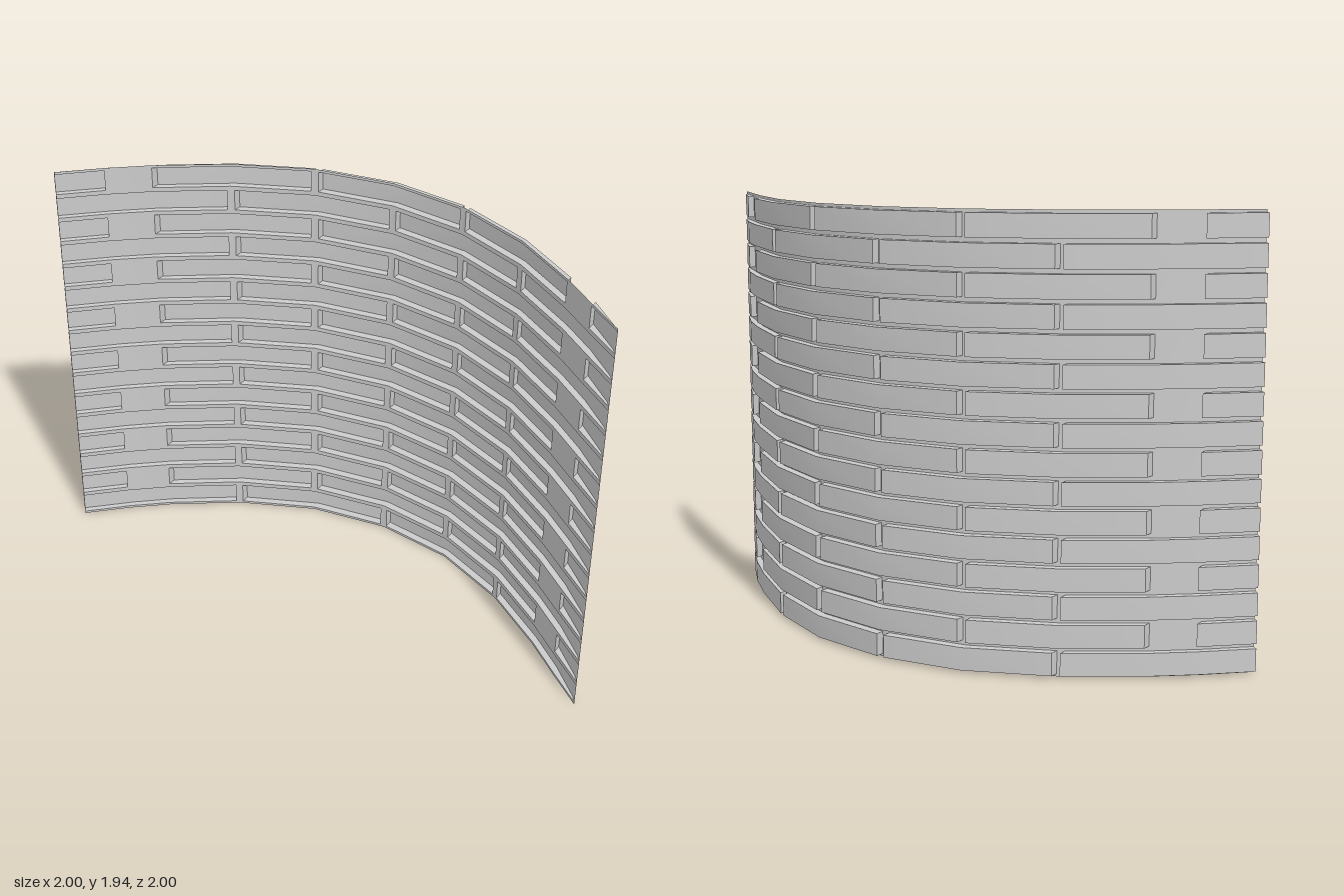
import * as THREE from 'three';
import { toCreasedNormals } from 'three/addons/utils/BufferGeometryUtils.js';

// Plan of the wall as [x, z] corners, and how far bricks push out at each corner
const PLAN = [[-1, -0.966], [-0.77, -0.963], [-0.55, -0.945], [-0.19, -0.88], [0.185, -0.735],
  [0.5, -0.5], [0.735, -0.185], [0.88, 0.19], [0.945, 0.56], [0.966, 0.78], [0.99, 1]];
const LAST = PLAN.length - 1;
const PUSH = PLAN.map((p, i) => i === 0 ? [0, -0.031] : i === LAST ? [0.007, -0.04] : [0.029, -0.029]);
const TOP = 1.94, COURSES = 16, PITCH = 0.121, BRICK_H = 0.1, BASE = 0.012, GAP = 0.045;

// Spans of bricks along the plan, measured in corner numbers
const EVEN = [[0, 3 - GAP], [3 + GAP, 5 - GAP], [5 + GAP, 7 - GAP], [7 + GAP, LAST]];
const ODD = [[0, 1], [2, 4 - GAP], [4 + GAP, 6 - GAP], [6 + GAP, 8], [9, LAST]];

function sample(list, u) {
  const i = Math.min(Math.floor(u), LAST - 1), t = u - i;
  return [0, 1].map(k => list[i][k] * (1 - t) + list[i + 1][k] * t);
}

// Point on the sheet (out = 0) or on the brick face (out = 1)
function point(u, y, out) {
  const p = sample(PLAN, u), d = sample(PUSH, u);
  return [p[0] + d[0] * out, y, p[1] + d[1] * out];
}

// Cut a span at every corner of the plan
function pieces(a, b) {
  const cuts = [a];
  for (let i = Math.floor(a) + 1; i < b; i++) cuts.push(i);
  cuts.push(b);
  return cuts.slice(1).map((c, i) => [cuts[i], c]);
}

const quad = (pos, a, b, c, d) => pos.push(...a, ...b, ...c, ...a, ...c, ...d);

// Vertical band facing outwards
function band(pos, a, b, y0, y1, out) {
  for (const [u, v] of pieces(a, b))
    quad(pos, point(u, y0, out), point(u, y1, out), point(v, y1, out), point(v, y0, out));
}

// Hollow brick pressed outwards from the sheet, open on the inside
function brick(pos, a, b, y0, y1) {
  band(pos, a, b, y0, y1, 1);
  for (const [u, v] of pieces(a, b)) {
    quad(pos, point(u, y1, 0), point(v, y1, 0), point(v, y1, 1), point(u, y1, 1));
    quad(pos, point(u, y0, 1), point(v, y0, 1), point(v, y0, 0), point(u, y0, 0));
  }
  quad(pos, point(a, y0, 0), point(a, y1, 0), point(a, y1, 1), point(a, y0, 1));
  quad(pos, point(b, y0, 1), point(b, y1, 1), point(b, y1, 0), point(b, y0, 0));
}

export function createModel() {
  const group = new THREE.Group();
  group.name = 'curvedBrickWall';
  const material = new THREE.MeshStandardMaterial({ color: 0xcccccc, side: THREE.DoubleSide });
  const add = (name, pos) => {
    const geometry = new THREE.BufferGeometry();
    geometry.setAttribute('position', new THREE.Float32BufferAttribute(pos, 3));
    const mesh = new THREE.Mesh(toCreasedNormals(geometry, Math.PI / 6), material);
    mesh.name = name;
    group.add(mesh);
  };

  const mortar = [];
  let bedBottom = 0;
  for (let r = 0; r < COURSES; r++) {
    const y0 = BASE + r * PITCH, y1 = y0 + BRICK_H;
    const spans = r % 2 ? ODD : EVEN;
    const bricks = [];
    band(mortar, 0, LAST, bedBottom, y0, 0); // bed joint below the course
    spans.forEach(([a, b], i) => {
      brick(bricks, a, b, y0, y1);
      if (i) band(mortar, spans[i - 1][1], a, y0, y1, 0); // upright joint
    });
    add('brickCourse' + (r + 1), bricks);
    bedBottom = y1;
  }
  band(mortar, 0, LAST, bedBottom, TOP, 0);
  add('mortarSheet', mortar);
  return group;
}
